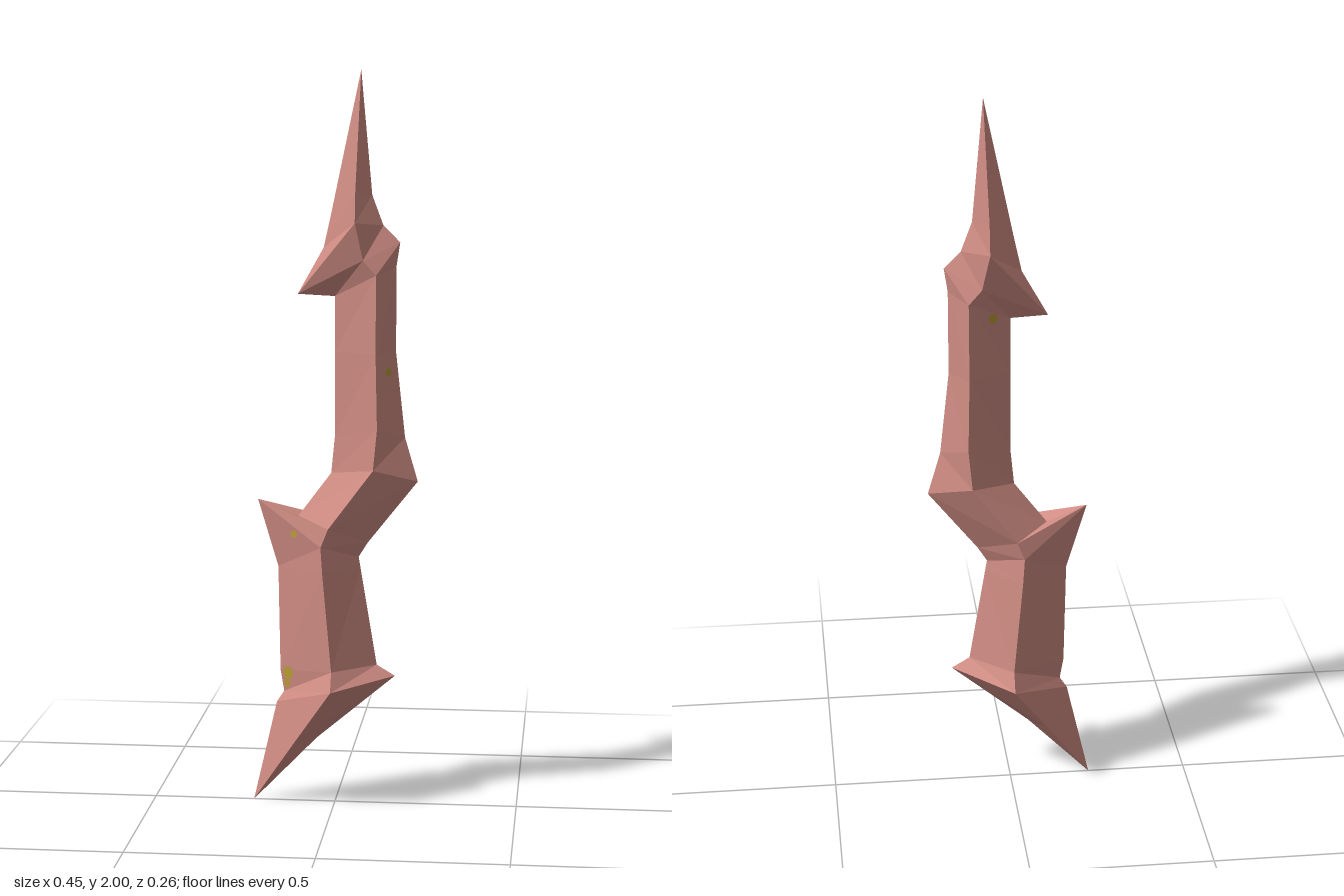
import * as THREE from 'three';

// Cross-sections from bottom to top: left edge x,y | ridge x,y,z | right edge x,y
const rows = [
  [-0.225, 0, -0.225, 0, 0, -0.225, 0],
  [-0.16, 0.28, -0.1, 0.19, 0.073, -0.05, 0.18],
  [-0.14, 0.31, 0, 0.34, 0.132, 0.165, 0.36],
  [-0.15, 0.37, 0, 0.39, 0.102, 0.115, 0.39],
  [-0.155, 0.66, -0.025, 0.66, 0.094, 0.07, 0.66],
  [-0.21, 0.845, -0.03, 0.73, 0.09, 0.065, 0.69],
  [-0.1, 0.8, -0.01, 0.78, 0.088, 0.09, 0.73],
  [-0.01, 0.92, 0.11, 0.94, 0.08, 0.225, 0.9],
  [0, 1.02, 0.12, 1.05, 0.073, 0.19, 1.02],
  [0, 1.25, 0.115, 1.25, 0.063, 0.165, 1.25],
  [0, 1.4, 0.115, 1.46, 0.055, 0.165, 1.48],
  [-0.1, 1.405, 0.08, 1.5, 0.056, 0.175, 1.545],
  [-0.03, 1.53, 0.06, 1.6, 0.075, 0.13, 1.59],
  [-0.01, 1.62, 0.06, 1.68, 0.06, 0.1, 1.67],
  [0.07, 2, 0.07, 2, 0, 0.07, 2],
];

// Four corners of a diamond section: left, front ridge, right, back ridge
const corners = ([lx, ly, mx, my, mz, rx, ry]) =>
  [[lx, ly, 0], [mx, my, mz], [rx, ry, 0], [mx, my, -mz]].map(p => new THREE.Vector3(...p));

// Skin the sections from row a to row b with flat facets
function loft(a, b) {
  const pos = [];
  const tri = (p, q, r) => {
    const area = new THREE.Vector3().subVectors(q, p).cross(new THREE.Vector3().subVectors(r, p)).length();
    if (area > 1e-7) for (const v of [p, q, r]) pos.push(v.x, v.y, v.z);
  };
  for (let i = a; i < b; i++) {
    const lo = corners(rows[i]), hi = corners(rows[i + 1]);
    for (let k = 0; k < 4; k++) {
      const n = (k + 1) % 4;
      // mirror the diagonal so front and back match
      if (k < 2) {
        tri(lo[k], lo[n], hi[n]);
        tri(lo[k], hi[n], hi[k]);
      } else {
        tri(lo[k], lo[n], hi[k]);
        tri(lo[n], hi[n], hi[k]);
      }
    }
  }
  const g = new THREE.BufferGeometry();
  g.setAttribute('position', new THREE.Float32BufferAttribute(pos, 3));
  g.computeVertexNormals();
  return g;
}

export function createModel() {
  const group = new THREE.Group();
  const rose = new THREE.MeshStandardMaterial({ color: 0xd08d84, flatShading: true });
  rose.name = 'dusty rose';
  const ochre = new THREE.MeshStandardMaterial({ color: 0xb89c34 });
  ochre.name = 'ochre';

  // Jagged body, split at its bends
  const parts = [
    ['tailSpike', 0, 3], ['lowerShaft', 3, 5], ['middleBend', 5, 7],
    ['upperShaft', 7, 10], ['barbedCollar', 10, 12], ['topSpike', 12, 14],
  ];
  for (const [name, a, b] of parts) {
    const mesh = new THREE.Mesh(loft(a, b), rose);
    mesh.name = name;
    group.add(mesh);
  }

  // Small ochre flecks lying on the facets: position, facing, radius
  const flecks = [
    [[-0.125, 0.367, 0.021], [-0.56, 0, 0.83], 0.019],
    [[-0.127, 0.338, 0.02], [-0.6, 0, 0.8], 0.012],
    [[-0.105, 0.76, 0.055], [-0.42, 0.1, 0.9], 0.01],
    [[0.05, 1.41, -0.027], [-0.45, 0, -0.89], 0.014],
    [[0.145, 1.2, 0.029], [0.78, 0, 0.62], 0.012],
  ];
  for (const [p, n, r] of flecks) {
    const mesh = new THREE.Mesh(new THREE.CircleGeometry(r, 7), ochre);
    const dir = new THREE.Vector3(...n).normalize();
    mesh.position.set(...p).addScaledVector(dir, 0.003);
    mesh.quaternion.setFromUnitVectors(new THREE.Vector3(0, 0, 1), dir);
    mesh.name = 'fleck';
    group.add(mesh);
  }
  return group;
}
